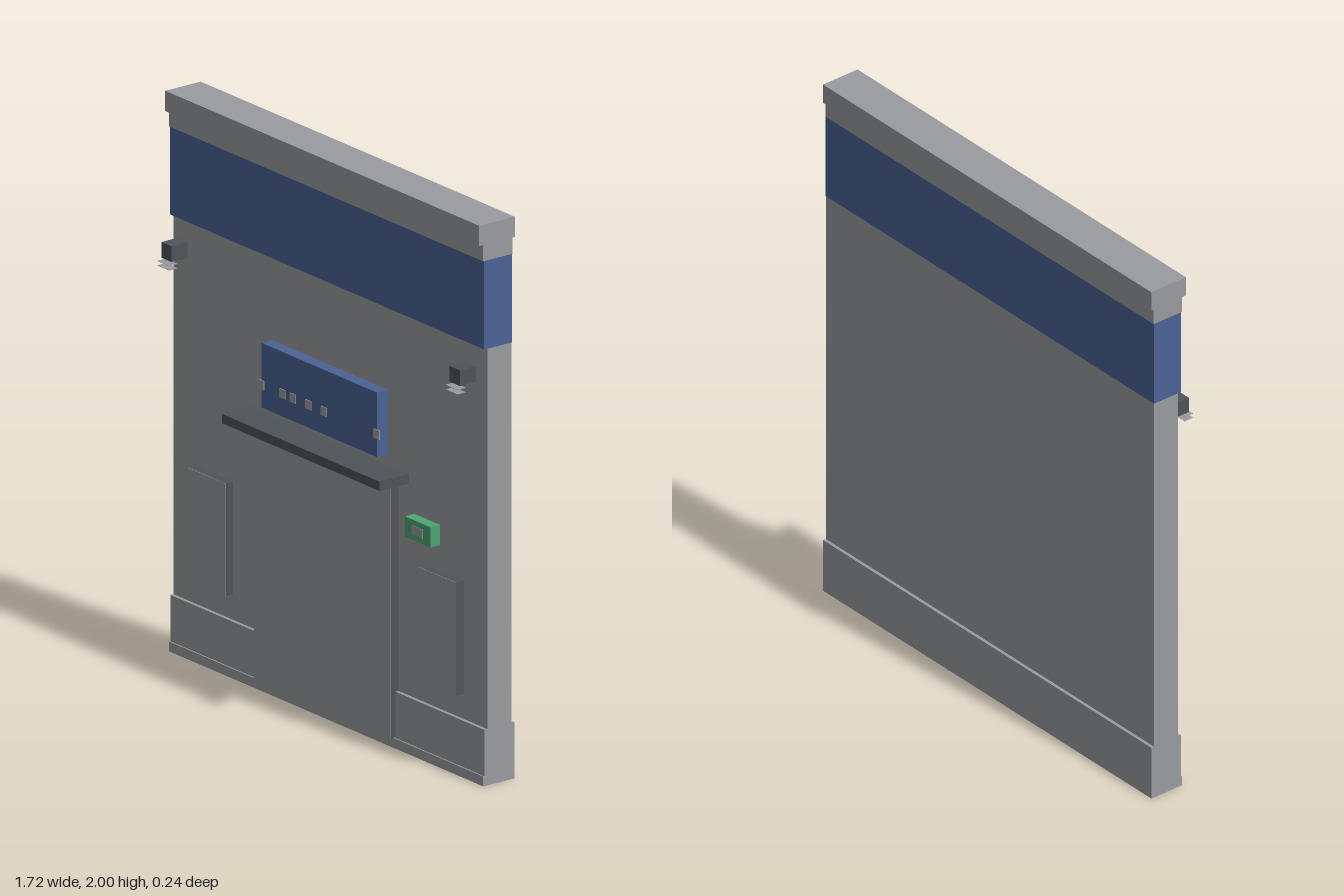
import * as THREE from 'three';

const flat = (name, color) => {
  const m = new THREE.MeshStandardMaterial({ color });
  m.name = name;
  return m;
};

export function createModel() {
  const root = new THREE.Group();
  root.name = 'shopFacade';
  const grey = flat('concreteGrey', 0x999b9e);
  const dark = flat('darkMetal', 0x4f5458);
  const blue = flat('signBlue', 0x4a6295);
  const green = flat('plaqueGreen', 0x4ca673);

  // Box given by its limits on each axis
  const box = (name, mat, [x0, x1], [y0, y1], [z0, z1], parent = root) => {
    const mesh = new THREE.Mesh(new THREE.BoxGeometry(x1 - x0, y1 - y0, z1 - z0), mat);
    mesh.position.set((x0 + x1) / 2, (y0 + y1) / 2, (z0 + z1) / 2);
    mesh.name = name;
    parent.add(mesh);
    return mesh;
  };

  // Wall, plinth, colour band and cornice
  const W = [-0.862, 0.862];
  box('groundStrip', grey, W, [0, 0.035], [-0.119, 0.014]);
  box('plinth', grey, W, [0.035, 0.2], [-0.119, 0.009]);
  box('wall', grey, W, [0.2, 1.555], [-0.107, -0.004]);
  box('blueBand', blue, W, [1.555, 1.87], [-0.108, 0.01]);
  box('corniceFrieze', grey, W, [1.87, 1.928], [-0.11, 0.015]);
  box('corniceCap', grey, W, [1.928, 2], [-0.12, 0.031]);

  // Dark box faced with a thin grey sheet
  const facedPanel = (name, x, y, front) => {
    const g = new THREE.Group();
    g.name = name;
    root.add(g);
    box(name + 'Casing', dark, x, y, [-0.01, front - 0.002], g);
    box(name + 'Face', grey, x, y, [front - 0.002, front], g);
  };
  facedPanel('door', [-0.373, 0.373], [0.037, 0.955], 0.031);
  facedPanel('leftPoster', [0.53, 0.732], [0.29, 0.692], 0.03);
  facedPanel('rightPoster', [-0.736, -0.534], [0.29, 0.692], 0.03);

  // Canopy over the door
  box('canopy', dark, [-0.433, 0.431], [0.955, 0.988], [-0.01, 0.121]);

  // Sign board with a row of small square plates
  box('signBoard', blue, [-0.318, 0.315], [1.026, 1.256], [-0.01, 0.042]);
  for (const x of [-0.319, -0.203, -0.145, -0.06, 0.025, 0.314])
    box('signSquare', grey, [x - 0.016, x + 0.016], [1.092, 1.124], [0.041, 0.045]);

  // Small plaque beside the door
  box('plaque', green, [0.461, 0.602], [0.783, 0.855], [-0.01, 0.037]);
  box('plaqueLabel', grey, [0.5, 0.562], [0.803, 0.835], [0.036, 0.039]);

  // Wall lamps with two thin discs of light below
  for (const side of [-1, 1]) {
    const lamp = new THREE.Group();
    lamp.name = side > 0 ? 'leftLamp' : 'rightLamp';
    lamp.position.x = side * 0.791;
    root.add(lamp);
    box('lampHousing', dark, [-0.028, 0.028], [1.428, 1.484], [0.012, 0.08], lamp);
    for (const y of [1.402, 1.418])
      box('lampPlate', grey, [-0.033, 0.033], [y, y + 0.001], [0.058, 0.094], lamp);
  }
  return root;
}
